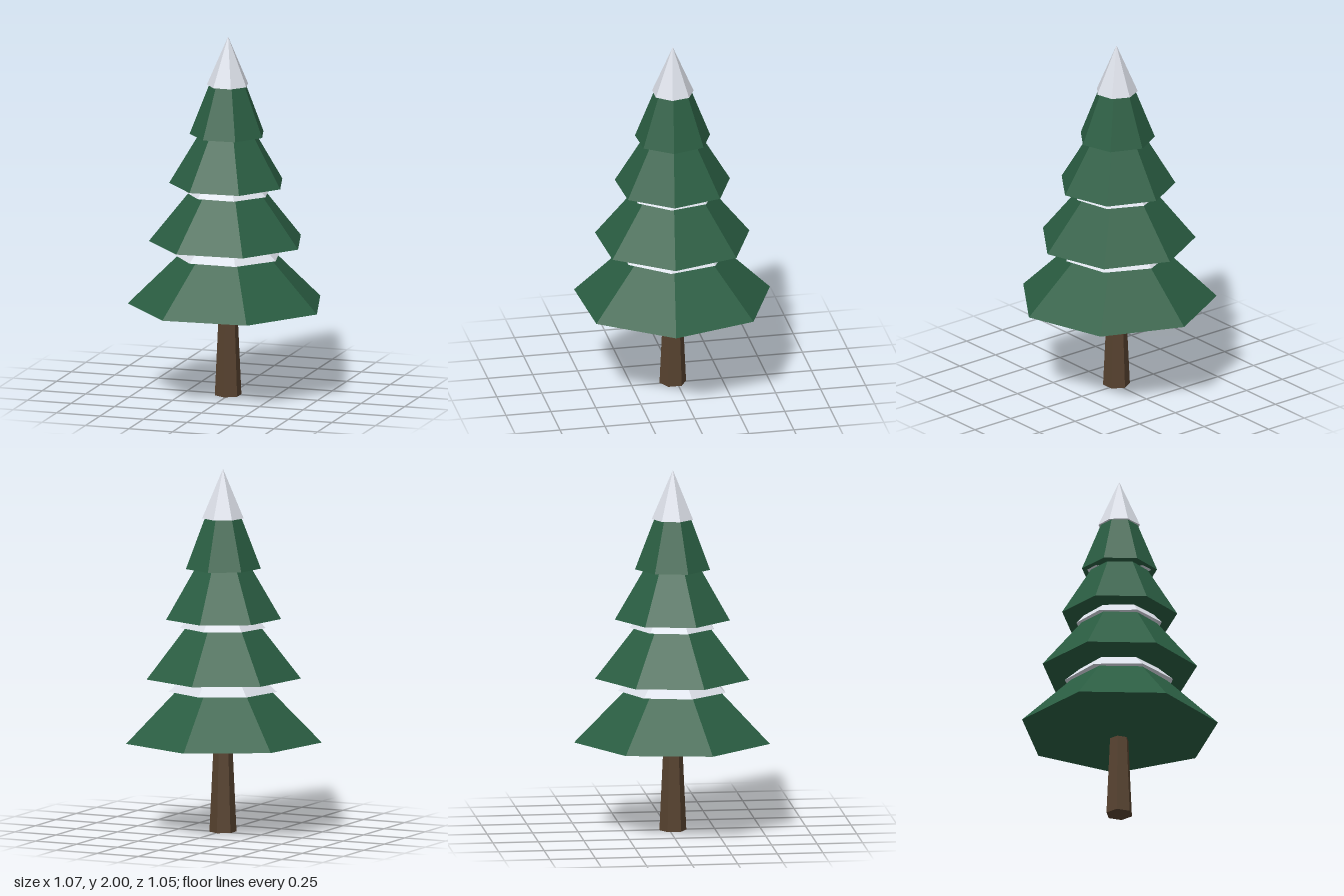
import * as THREE from 'three';

export function createModel() {
  const tree = new THREE.Group();
  tree.name = 'snowyPine';

  const flat = (name, color) => {
    const m = new THREE.MeshStandardMaterial({ color, flatShading: true });
    m.name = name;
    return m;
  };
  const green = flat('needleGreen', 0x2a5d42);
  const snow = flat('snow', 0xdde1ea);
  const bark = flat('bark', 0x57422f);

  // Adds a faceted, closed frustum standing on height y
  const add = (name, material, rTop, rBottom, height, y, sides, turn = 0) => {
    const geometry = rTop > 0
      ? new THREE.CylinderGeometry(rTop, rBottom, height, sides)
      : new THREE.ConeGeometry(rBottom, height, sides);
    const mesh = new THREE.Mesh(geometry, material);
    mesh.name = name;
    mesh.position.set(-0.008, y + height / 2, 0.02);
    mesh.rotation.y = turn;
    tree.add(mesh);
  };

  // Six-sided tapering trunk
  add('trunk', bark, 0.053, 0.074, 0.45, 0, 6);

  // Four branch tiers, each with a snow cone around its upper half
  const tiers = [[0.505, 0.548], [0.855, 0.432], [1.18, 0.322], [1.455, 0.21]];
  tiers.forEach(([y, r], i) => {
    add(`branchTier${i + 1}`, green, 0, r, 0.54, y, 7, THREE.MathUtils.degToRad(29.1));
    const name = i === tiers.length - 1 ? 'snowCap' : `snowRing${i + 1}`;
    add(name, snow, 0, r * 0.553, 0.27, y + 0.275, 7, Math.PI);
  });

  return tree;
}
